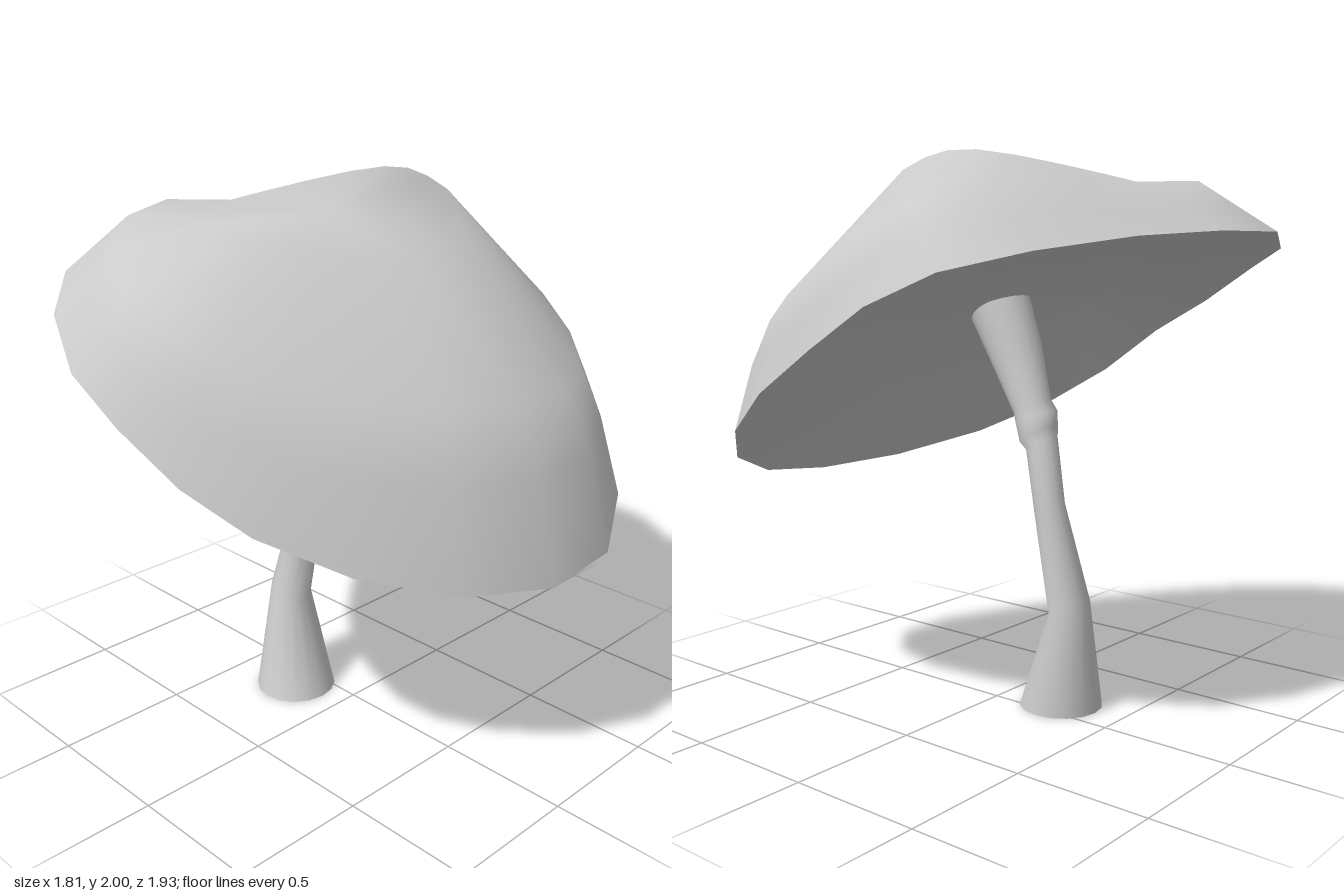
import * as THREE from 'three';

// Skin a stack of closed rings; an optional apex closes the last one.
function loft(rings, apex) {
  const n = rings[0].length;
  const pos = rings.flat(2);
  const index = [];
  for (let r = 0; r < rings.length - 1; r++) {
    for (let i = 0; i < n; i++) {
      const a = r * n + i, b = r * n + (i + 1) % n;
      index.push(a, a + n, b, b, a + n, b + n);
    }
  }
  if (apex) {
    const top = (rings.length - 1) * n;
    pos.push(...apex);
    for (let i = 0; i < n; i++) index.push(top + i, top + n, top + (i + 1) % n);
  }
  const g = new THREE.BufferGeometry();
  g.setAttribute('position', new THREE.Float32BufferAttribute(pos, 3));
  g.setIndex(index);
  g.computeVertexNormals();
  return g;
}

// Circle around a centre, tilted about z towards +x.
function circle([x, y, z, radius, tilt], n = 16) {
  return Array.from({ length: n }, (_, i) => {
    const t = (i / n) * Math.PI * 2, u = radius * Math.cos(t);
    return [x + u * Math.cos(tilt), y - u * Math.sin(tilt), z + radius * Math.sin(t)];
  });
}

export function createModel() {
  const group = new THREE.Group();
  const material = new THREE.MeshStandardMaterial({ color: 0xcccccc, side: THREE.DoubleSide });
  const add = (name, geometry) => {
    const mesh = new THREE.Mesh(geometry, material);
    mesh.name = name;
    group.add(mesh);
    return mesh;
  };

  // Irregular tilted rim of the cap
  const rim = [
    [-0.3, 1.53, -0.97], [-0.03, 1.39, -0.94], [0.27, 1.23, -0.89], [0.54, 1.07, -0.78],
    [0.76, 0.93, -0.6], [0.9, 0.83, -0.34], [0.9, 0.8, -0.04], [0.77, 0.83, 0.27],
    [0.55, 0.92, 0.55], [0.32, 1.05, 0.76], [0.12, 1.19, 0.88], [-0.08, 1.36, 0.96],
    [-0.31, 1.49, 0.965], [-0.56, 1.62, 0.86], [-0.79, 1.7, 0.66], [-0.91, 1.755, 0.39],
    [-0.89, 1.755, 0.06], [-0.82, 1.735, -0.33], [-0.7, 1.69, -0.69], [-0.53, 1.63, -0.91],
  ];
  // The front left flank is hollowed a little
  const hollow = (x, z) => 0.15 * Math.max(0, x) * Math.max(0, z);
  const shoulder = rim.map(([x, , z]) => {
    const sx = 0.03 + 0.745 * x, sz = -0.03 + 0.86 * z;
    return [sx, 1.66 - 0.37 * sx - 0.15 * sx * Math.abs(sz) - hollow(sx, sz), sz];
  });
  // Slightly bulging skirt between rim and shoulder
  const skirt = rim.map(([x, y, z], i) => {
    const [sx, sy, sz] = shoulder[i];
    return [(x + sx) / 2, (y + sy) / 2 + 0.07 * Math.max(0, x), (z + sz) / 2];
  });
  const crown = rim.map(([x, , z]) => {
    const cx = -0.09 + 0.41 * x, cz = 0.52 * z;
    return [cx, 1.92 - 0.29 * cx - 0.09 * cz - 0.5 * cx * cx - hollow(cx, cz), cz];
  });
  add('cap', loft([rim, skirt, shoulder, crown], [-0.1, 1.92, 0]));

  // Shallow vaulted underside, facing down
  const outer = [...rim].reverse();
  const vault = outer.map(([x, y, z]) => [0.55 * x, 1.43 + 0.55 * (y - 1.3), 0.55 * z]);
  add('capUnderside', loft([outer, vault], [0.03, 1.5, 0]));

  // Bent stem with a flared foot and a collar: x, y, z, radius, tilt
  const sections = [
    [-0.237, 0.008, 0.092, 0.155, 0],
    [-0.3, 0.405, 0.052, 0.08, 0.38],
    [-0.24, 0.775, 0.008, 0.058, 0.36],
    [-0.183, 1.0, 0.035, 0.062, 0.5],
    [-0.165, 1.03, 0.04, 0.075, 0.5],
    [-0.15, 1.095, 0.045, 0.08, 0.35],
    [-0.127, 1.13, 0.05, 0.073, 0.45],
    [-0.04, 1.32, 0.065, 0.1, 0.5],
    [0.08, 1.57, 0.07, 0.125, 0.5],
  ];
  add('stem', loft(sections.map((s) => circle(s))));

  // Flat sole under the stem
  const sole = add('stemBase', new THREE.CircleGeometry(0.155, 16));
  sole.rotation.x = Math.PI / 2;
  sole.position.set(-0.237, 0.008, 0.092);

  return group;
}
